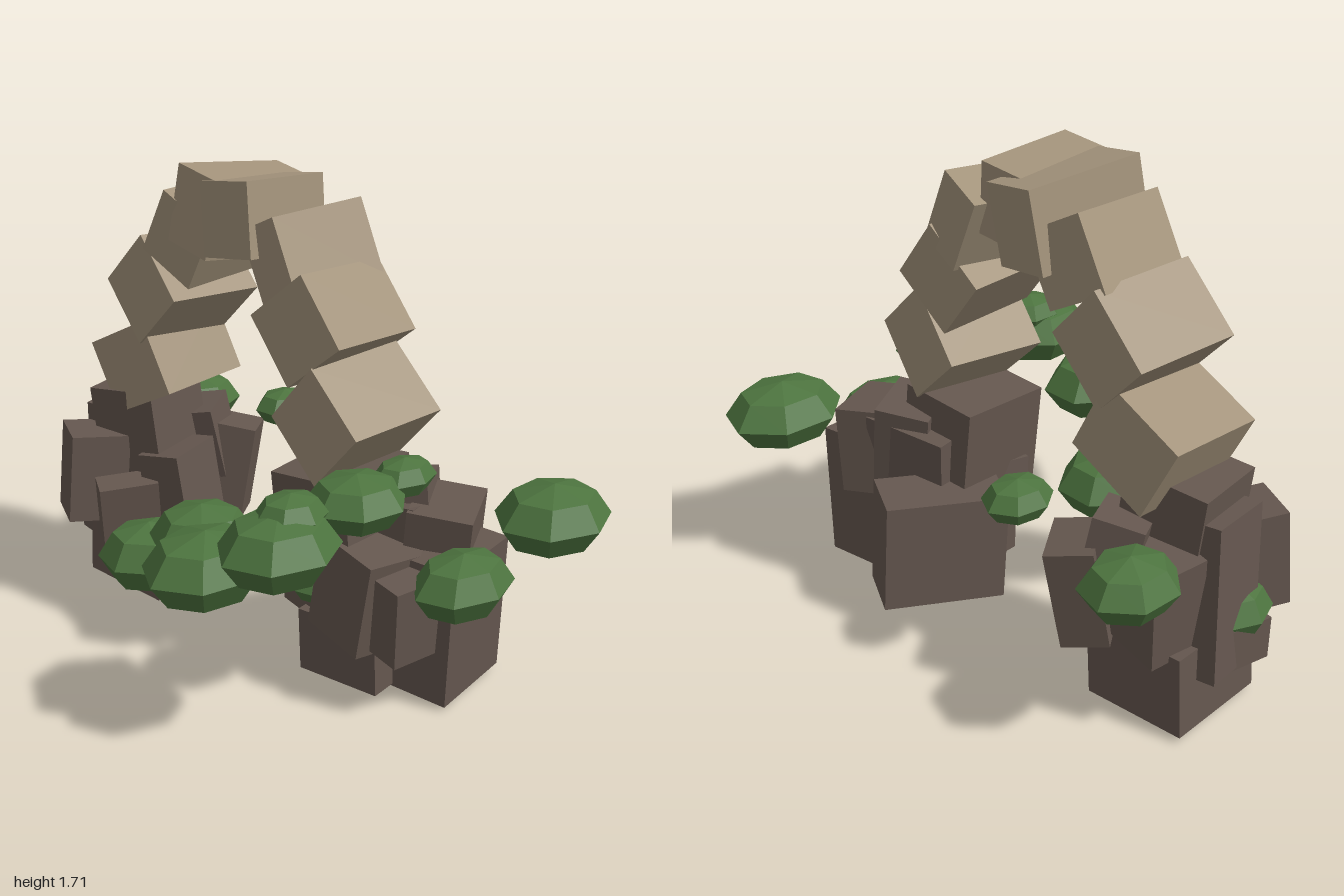
import * as THREE from 'three';

const material = (name, color) => {
  const m = new THREE.MeshStandardMaterial({ color });
  m.name = name;
  return m;
};

export function createModel() {
  const model = new THREE.Group();
  model.name = 'rockArch';
  const sandstone = material('sandstone', 0xa3937b);
  const darkStone = material('dark stone', 0x65574f);
  const leaf = material('leaf green', 0x4d743f);

  const group = (name) => {
    const g = new THREE.Group();
    g.name = name;
    model.add(g);
    return g;
  };
  const rad = THREE.MathUtils.degToRad;
  const box = new THREE.BoxGeometry(1, 1, 1);

  // Each block: centre, size, rotation in degrees
  const addBlocks = (name, mat, blocks) => {
    const g = group(name + 's');
    for (const [pos, size, rot] of blocks) {
      const mesh = new THREE.Mesh(box, mat);
      mesh.name = name;
      mesh.position.set(...pos);
      mesh.scale.set(...size);
      mesh.rotation.set(...rot.map(rad));
      g.add(mesh);
    }
  };

  // Arch stones, from the -x foot over the crown to the +x foot
  addBlocks('archStone', sandstone, [
    [[-0.65, 0.935, -0.09], [0.32, 0.28, 0.37], [3, 3, 26]],
    [[-0.55, 1.23, -0.09], [0.28, 0.28, 0.38], [-2, -3, 44]],
    [[-0.38, 1.455, -0.09], [0.25, 0.24, 0.37], [2, 5, 62]],
    [[-0.24, 1.545, -0.1], [0.22, 0.27, 0.42], [-5, -6, -9]],
    [[-0.09, 1.555, -0.06], [0.21, 0.25, 0.37], [-3, 3, 7]],
    [[0.1, 1.45, -0.1], [0.27, 0.18, 0.38], [3, -5, -66]],
    [[0.205, 1.24, -0.09], [0.27, 0.27, 0.39], [-2, 3, -51]],
    [[0.31, 0.95, -0.09], [0.28, 0.3, 0.38], [3, -4, -43]],
  ]);

  // Boulder pile under the -x foot
  addBlocks('leftBoulder', darkStone, [
    [[-0.73, 0.16, -0.1], [0.38, 0.29, 0.38], [0, 4, -3]],
    [[-0.71, 0.54, -0.07], [0.29, 0.58, 0.3], [3, 12, 5]],
    [[-0.86, 0.46, -0.06], [0.18, 0.54, 0.25], [4, 10, -4]],
    [[-0.82, 0.485, 0.14], [0.2, 0.34, 0.22], [-5, -26, -3]],
    [[-0.88, 0.26, 0.0], [0.18, 0.15, 0.2], [2, -8, 0]],
    [[-0.63, 0.385, 0.13], [0.12, 0.23, 0.22], [4, -30, -4]],
    [[-0.53, 0.4, -0.06], [0.18, 0.42, 0.24], [3, 14, 7]],
    [[-0.56, 0.45, -0.34], [0.16, 0.36, 0.2], [-6, 36, -5]],
    [[-0.76, 0.47, -0.24], [0.28, 0.34, 0.2], [-4, -8, 4]],
    [[-0.64, 0.57, -0.27], [0.17, 0.28, 0.2], [8, 30, 6]],
  ]);

  // Boulder pile under the +x foot
  addBlocks('rightBoulder', darkStone, [
    [[0.155, 0.28, -0.345], [0.22, 0.4, 0.43], [4, -25, 2]],
    [[0.26, 0.58, -0.1], [0.31, 0.36, 0.36], [3, 5, 4]],
    [[0.37, 0.15, -0.06], [0.32, 0.23, 0.24], [2, 6, 1]],
    [[0.44, 0.38, -0.02], [0.26, 0.34, 0.24], [-3, -8, -8]],
    [[0.6, 0.28, -0.24], [0.25, 0.5, 0.35], [2, 8, -3]],
    [[0.36, 0.4, -0.22], [0.34, 0.5, 0.28], [-2, 12, 3]],
    [[0.55, 0.5, -0.28], [0.22, 0.32, 0.28], [4, 28, -6]],
    [[0.58, 0.36, -0.05], [0.24, 0.28, 0.26], [3, -10, -4]],
    [[0.41, 0.56, -0.25], [0.2, 0.3, 0.24], [-5, 30, 8]],
    [[0.2, 0.36, -0.08], [0.17, 0.26, 0.24], [3, -10, -3]],
  ]);

  // Bushes: faceted, flattened seven-sided spheres (centre, radii, turn)
  const bush = new THREE.SphereGeometry(1, 7, 4).toNonIndexed();
  bush.computeVertexNormals();
  const bushes = group('bushes');
  [
    [[-0.37, 0.715, -0.44], [0.105, 0.07, 0.125], 170],
    [[-0.16, 0.44, 0.18], [0.18, 0.12, 0.195], 90],
    [[-0.465, 0.26, 0.17], [0.185, 0.13, 0.195], 100],
    [[-0.88, 0.35, 0.02], [0.12, 0.1, 0.14], 0],
    [[-0.85, 0.63, -0.43], [0.15, 0.1, 0.17], 180],
    [[0.245, 0.575, 0.52], [0.185, 0.125, 0.225], 90],
    [[0.53, 0.72, 0.48], [0.18, 0.12, 0.21], 185],
    [[0.52, 0.81, 0.42], [0.105, 0.07, 0.125], 180],
    [[0.81, 0.6, -0.53], [0.185, 0.12, 0.225], 180],
    [[0.77, 0.48, -0.11], [0.145, 0.11, 0.2], 180],
    [[0.53, 0.77, 0.14], [0.16, 0.095, 0.175], 195],
    [[0.545, 0.8, -0.07], [0.09, 0.065, 0.125], 180],
    [[0.24, 0.33, 0.0], [0.09, 0.06, 0.1], 180],
  ].forEach(([pos, radii, turn]) => {
    const holder = new THREE.Group();
    holder.name = 'bush';
    holder.position.set(...pos);
    holder.scale.set(...radii);
    const mesh = new THREE.Mesh(bush, leaf);
    mesh.name = 'foliage';
    mesh.rotation.y = rad(turn);
    holder.add(mesh);
    bushes.add(holder);
  });

  return model;
}
